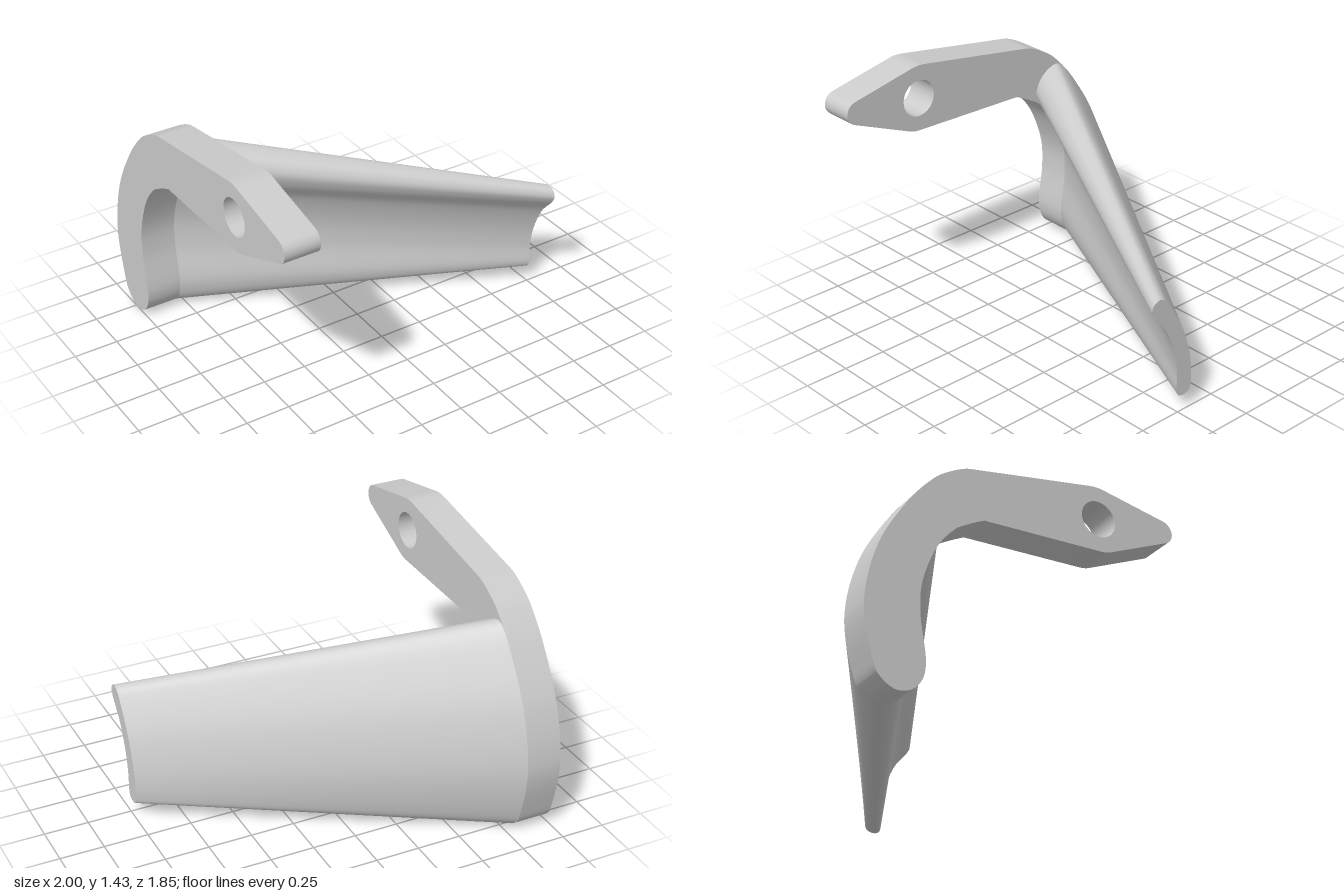
import * as THREE from 'three';
import { toCreasedNormals } from 'three/addons/utils/BufferGeometryUtils.js';

// Matching cross-sections [depth towards the back, height], counter-clockwise from the bottom
const ROOT = [[.73, 0], [.82, .04], [.87, .13], [.92, .42], [.85, .74], [.69, 1.02], [.6, 1.13], [.55, 1.155],
  [.45, 1.11], [.4, 1.02], [.43, .93], [.53, .8], [.605, .6], [.615, .42], [.585, .17], [.63, .045]];
const TIP = [[-.21, .09], [-.168, .105], [-.157, .15], [-.165, .29], [-.225, .49], [-.33, .67], [-.365, .71], [-.4, .722],
  [-.438, .705], [-.45, .67], [-.435, .635], [-.35, .53], [-.285, .38], [-.26, .24], [-.26, .13], [-.245, .1]];
const vec2 = (pts) => pts.map(([u, y]) => new THREE.Vector2(u, y));

function sampleLoop(pts, n) {
  const curve = new THREE.CatmullRomCurve3(pts.map(([u, y]) => new THREE.Vector3(u, y, 0)), true);
  return Array.from({ length: n }, (_, i) => curve.getPoint(i / n));
}

// Tapered blade lofted between the two sections, with closed ends
function bladeGeometry() {
  const n = 128, rows = 8, length = 1.8;
  const a = sampleLoop(ROOT, n), b = sampleLoop(TIP, n);
  const pos = [], index = [];
  for (let r = 0; r <= rows; r++) {
    for (let i = 0; i < n; i++) {
      const p = a[i].clone().lerp(b[i], r / rows);
      pos.push(p.x, p.y, length * r / rows);
      if (r === rows) continue;
      const j = (i + 1) % n, k = r * n;
      index.push(k + i, k + j, k + n + i, k + j, k + n + j, k + n + i);
    }
  }
  // End caps have their own vertices so their edges stay sharp
  [[a, 0], [b, length]].forEach(([loop, w], end) => {
    const base = pos.length / 3;
    loop.forEach((p) => pos.push(p.x, p.y, w));
    for (const [p, q, s] of THREE.ShapeUtils.triangulateShape(loop.map((v) => new THREE.Vector2(v.x, v.y)), [])) {
      if (end) index.push(base + p, base + q, base + s);
      else index.push(base + p, base + s, base + q);
    }
  });
  const geo = new THREE.BufferGeometry();
  geo.setAttribute('position', new THREE.Float32BufferAttribute(pos, 3));
  geo.setIndex(index);
  geo.computeVertexNormals();
  return geo;
}

// Flat hooked plate with a rounded nose and a pivot hole
function plateGeometry() {
  const rad = THREE.MathUtils.degToRad;
  const s = new THREE.Shape();
  s.absarc(-.858, 1.278, .067, rad(102), rad(247), false);
  s.lineTo(-.52, 1.063);
  s.quadraticCurveTo(-.49, 1.05, -.45, 1.05);
  s.lineTo(.25, 1.035);
  s.splineThru(vec2([[.34, .99], ...ROOT.slice(10), ...ROOT.slice(0, 6), [.54, 1.195], [.43, 1.27], [.36, 1.302]]));
  s.quadraticCurveTo(.345, 1.308, .32, 1.312);
  s.lineTo(-.4, 1.426);
  s.quadraticCurveTo(-.45, 1.434, -.5, 1.422);
  s.closePath();
  const hole = new THREE.Path();
  hole.absarc(-.45, 1.24, .104, 0, Math.PI * 2, true);
  s.holes.push(hole);
  const geo = new THREE.ExtrudeGeometry(s, { depth: .2, bevelEnabled: false, curveSegments: 24 });
  return toCreasedNormals(geo, rad(25));
}

export function createModel() {
  const group = new THREE.Group();
  const material = new THREE.MeshStandardMaterial({ color: 0xcccccc });
  const add = (name, geo, x) => {
    const mesh = new THREE.Mesh(geo, material);
    mesh.name = name;
    mesh.rotation.y = Math.PI / 2; // extrusion runs along +x
    mesh.position.x = x;
    group.add(mesh);
  };
  add('pivotPlate', plateGeometry(), -1);
  add('taperedBlade', bladeGeometry(), -.8);
  return group;
}
